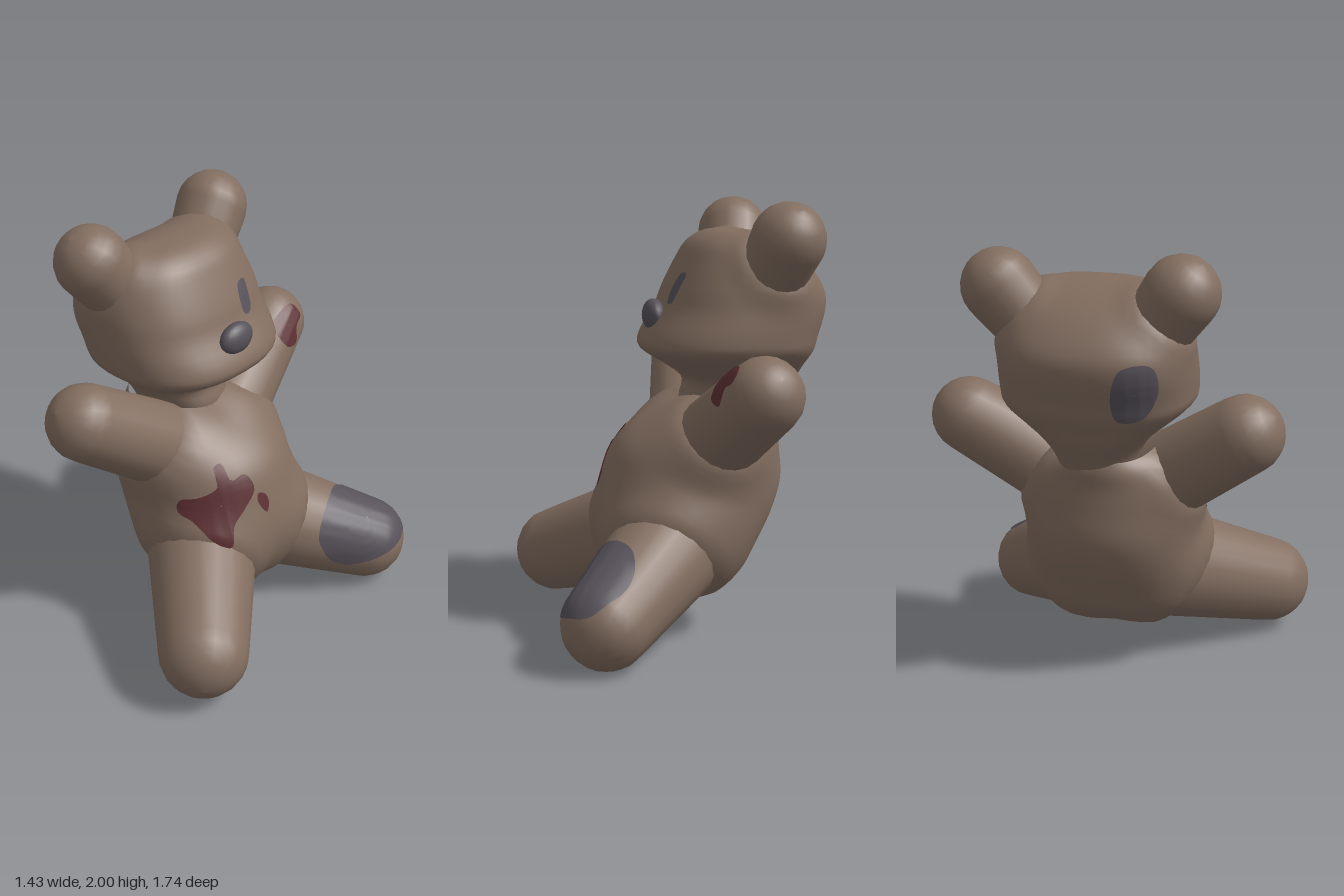
import * as THREE from 'three';

const YAW = 0.16; // the bear is turned slightly towards +z
const V = (a) => new THREE.Vector3(...a);

// Skin over rounded cross-sections [y, centreX, radiusX, radiusZ], listed top to bottom
function loft(sections, cz, power, rows = 36, sides = 40) {
  const pos = [], index = [];
  const round = (t) => Math.sign(t) * Math.abs(t) ** (2 / power);
  const curves = [0, 1, 2, 3].map((c) => new THREE.SplineCurve(sections.map((s, i) => new THREE.Vector2(i, s[c]))));
  for (let i = 0; i <= rows; i++) {
    const [y, cx, rx, rz] = curves.map((c) => c.getPoint(i / rows).y);
    for (let j = 0; j < sides; j++) {
      const t = (j / sides) * Math.PI * 2;
      const a = rx * round(Math.cos(t)), b = rz * round(Math.sin(t));
      pos.push(cx + a * Math.cos(YAW) - b * Math.sin(YAW), y, cz + a * Math.sin(YAW) + b * Math.cos(YAW));
    }
  }
  for (let i = 0; i < rows; i++) {
    for (let j = 0; j < sides; j++) {
      const k = (j + 1) % sides;
      const a = i * sides + j, c = i * sides + k, b = a + sides, d = c + sides;
      index.push(a, c, b, c, d, b);
    }
  }
  const g = new THREE.BufferGeometry();
  g.setAttribute('position', new THREE.Float32BufferAttribute(pos, 3));
  g.setIndex(index);
  g.computeVertexNormals();
  return g;
}

// Swell a skin where limbs leave it, so that they join in a soft fillet
function swell(g, limbs, reach) {
  const pos = g.attributes.position, normal = g.attributes.normal;
  for (let i = 0; i < pos.count; i++) {
    const p = new THREE.Vector3().fromBufferAttribute(pos, i);
    let push = 0;
    for (const { from, to, r0, r1 } of limbs) {
      const line = new THREE.Line3(V(from), V(to));
      const t = line.closestPointToPointParameter(p, true);
      const d = p.distanceTo(line.at(t, new THREE.Vector3())) - THREE.MathUtils.lerp(r0, r1, t);
      const near = THREE.MathUtils.clamp(reach - d, 0, reach);
      push = Math.max(push, (near * near) / (4 * reach));
    }
    p.addScaledVector(new THREE.Vector3().fromBufferAttribute(normal, i), push);
    pos.setXYZ(i, p.x, p.y, p.z);
  }
  g.computeVertexNormals();
  return g;
}

// Tapered limb between two points, rounded at both ends
function stub({ from, to, r0, r1 }) {
  const a = V(from), axis = V(to).sub(a), len = axis.length();
  const profile = [];
  const arc = (r, y, start) => {
    for (let i = 0; i <= 6; i++) {
      const t = start + (i / 6) * Math.PI / 2;
      profile.push(new THREE.Vector2(Math.max(r * Math.cos(t), 0), y + r * Math.sin(t)));
    }
  };
  arc(r0, 0, -Math.PI / 2);
  arc(r1, len, 0);
  const g = new THREE.LatheGeometry(profile, 20);
  g.applyQuaternion(new THREE.Quaternion().setFromUnitVectors(new THREE.Vector3(0, 1, 0), axis.normalize()));
  return g.translate(a.x, a.y, a.z);
}

// Thin patch laid on a surface: outline points (across, up) are cast along -facing
function patch(target, facing, outline) {
  const n = V(facing).normalize();
  const right = new THREE.Vector3(0, 1, 0).cross(n).normalize();
  const up = n.clone().cross(right);
  const ray = new THREE.Raycaster();
  const curve = new THREE.CatmullRomCurve3(outline.map(([h, v]) => new THREE.Vector3(h, v, 0)), true, 'centripetal');
  const count = 60, rings = 10;
  const rim = curve.getSpacedPoints(count).slice(0, count);
  const mid = rim.reduce((s, p) => s.add(p), new THREE.Vector3()).divideScalar(count);
  const land = (p, f) => {
    for (; f > 0.01; f *= 0.93) {
      const q = mid.clone().lerp(p, f);
      const start = right.clone().multiplyScalar(q.x).addScaledVector(up, q.y).addScaledVector(n, 3);
      ray.set(start, n.clone().negate());
      const hit = ray.intersectObject(target)[0];
      if (hit) return hit.point.addScaledVector(hit.face.normal, 0.006);
    }
    return right.clone().multiplyScalar(mid.x).addScaledVector(up, mid.y);
  };
  const pos = [], index = [];
  for (let r = 0; r <= rings; r++) {
    for (const p of rim) pos.push(...land(p, Math.max(r / rings, 0.02)).toArray());
  }
  for (let r = 0; r < rings; r++) {
    for (let j = 0; j < count; j++) {
      const k = (j + 1) % count;
      const a = r * count + j, b = r * count + k, c = a + count, d = b + count;
      index.push(a, c, b, b, c, d);
    }
  }
  const g = new THREE.BufferGeometry();
  g.setAttribute('position', new THREE.Float32BufferAttribute(pos, 3));
  g.setIndex(index);
  g.computeVertexNormals();
  return g;
}

export function createModel() {
  const group = new THREE.Group();
  group.name = 'teddyBear';
  const fur = new THREE.MeshStandardMaterial({ color: 0x836e60 });
  const grey = new THREE.MeshStandardMaterial({ color: 0x57525a });
  const red = new THREE.MeshStandardMaterial({ color: 0x5e3033 });
  fur.name = 'brownFur';
  grey.name = 'darkGrey';
  red.name = 'darkRed';
  grey.side = red.side = THREE.DoubleSide;
  const add = (name, geometry, material) => {
    const m = new THREE.Mesh(geometry, material);
    m.name = name;
    group.add(m);
    return m;
  };

  // Ears, arms and legs
  const ears = {
    leftEar: { from: [-0.43, 1.67, 0.19], to: [-0.48, 1.83, 0.3], r0: 0.155, r1: 0.168 },
    rightEar: { from: [-0.35, 1.65, -0.36], to: [-0.365, 1.82, -0.5], r0: 0.155, r1: 0.168 },
  };
  const limbs = {
    leftArm: { from: [-0.2, 0.91, 0.18], to: [-0.355, 1.19, 0.57], r0: 0.2, r1: 0.178 },
    rightArm: { from: [-0.13, 0.9, -0.24], to: [-0.155, 1.17, -0.7], r0: 0.2, r1: 0.175 },
    leftLeg: { from: [-0.01, 0.44, 0.16], to: [0.315, 0.235, 0.66], r0: 0.265, r1: 0.207 },
    rightLeg: { from: [0.03, 0.44, -0.17], to: [0.51, 0.2, -0.54], r0: 0.265, r1: 0.2 },
  };
  const parts = {};
  for (const [name, limb] of Object.entries({ ...ears, ...limbs })) parts[name] = add(name, stub(limb), fur);

  // Torso, leaning back, narrowing to the neck
  const torso = add('torso', swell(loft([
    [1.08, -0.28, 0.23, 0.19], [1.03, -0.23, 0.29, 0.26], [0.95, -0.17, 0.345, 0.34],
    [0.85, -0.13, 0.39, 0.385], [0.7, -0.105, 0.42, 0.405], [0.55, -0.065, 0.41, 0.41],
    [0.42, -0.04, 0.365, 0.38], [0.3, -0.03, 0.3, 0.31], [0.22, 0, 0.2, 0.22], [0.205, 0, 0.001, 0.001],
  ], -0.03, 2.15), Object.values(limbs), 0.16), fur);

  // Head with a blunt muzzle
  const head = add('head', swell(loft([
    [1.86, -0.28, 0.001, 0.001], [1.85, -0.28, 0.1, 0.2], [1.8, -0.3, 0.2, 0.3],
    [1.72, -0.33, 0.28, 0.365], [1.6, -0.345, 0.355, 0.415], [1.5, -0.33, 0.38, 0.43],
    [1.38, -0.275, 0.4, 0.43], [1.31, -0.265, 0.39, 0.415], [1.24, -0.3, 0.32, 0.33],
    [1.17, -0.33, 0.26, 0.24], [1.08, -0.29, 0.24, 0.185], [0.98, -0.27, 0.2, 0.16],
  ], -0.075, 2.45), Object.values(ears), 0.1), fur);

  // Nose
  const nose = add('nose', new THREE.SphereGeometry(1, 20, 14), grey);
  nose.scale.set(0.05, 0.075, 0.1);
  nose.position.set(0.07, 1.467, -0.01);
  nose.rotation.y = -YAW;

  // Eye, worn patches and stains
  group.updateMatrixWorld(true);
  add('eye', patch(head, [1, 0, 0], [[0.125, 1.53], [0.17, 1.53], [0.195, 1.6], [0.2, 1.66], [0.15, 1.66], [0.12, 1.6]]), grey);
  add('headPatch', patch(head, [-0.89, 0, 0.45], [
    [-0.26, 1.55], [-0.29, 1.45], [-0.25, 1.32], [-0.14, 1.33], [-0.09, 1.45], [-0.13, 1.56],
  ]), grey);
  add('legPatch', patch(parts.rightLeg, [1, 1, 0], [
    [0.29, 0.056], [0.2, -0.035], [0.25, -0.18], [0.4, -0.31], [0.55, -0.315], [0.67, -0.25],
    [0.67, -0.12], [0.57, 0.03], [0.46, 0.095],
  ]), grey);
  add('chestStain', patch(torso, [0.8, 0, 0.6], [
    [-0.3, 0.72], [-0.25, 0.69], [-0.18, 0.61], [-0.1, 0.57], [-0.075, 0.66], [-0.005, 0.73], [0.05, 0.8],
    [0.01, 0.87], [-0.06, 0.86], [-0.09, 0.93], [-0.13, 0.92], [-0.12, 0.85], [-0.21, 0.8], [-0.29, 0.78],
  ]), red);
  add('chestSpot', patch(torso, [1, 0, 0], [[-0.13, 0.74], [-0.1, 0.67], [-0.075, 0.7], [-0.08, 0.75], [-0.115, 0.77]]), red);
  add('armStain', patch(parts.rightArm, [0.8, 0.6, 0], [
    [0.53, 0.97], [0.56, 0.9], [0.64, 0.89], [0.67, 0.96], [0.72, 0.99], [0.7, 1.06], [0.62, 1.06], [0.53, 1.02],
  ]), red);
  return group;
}
